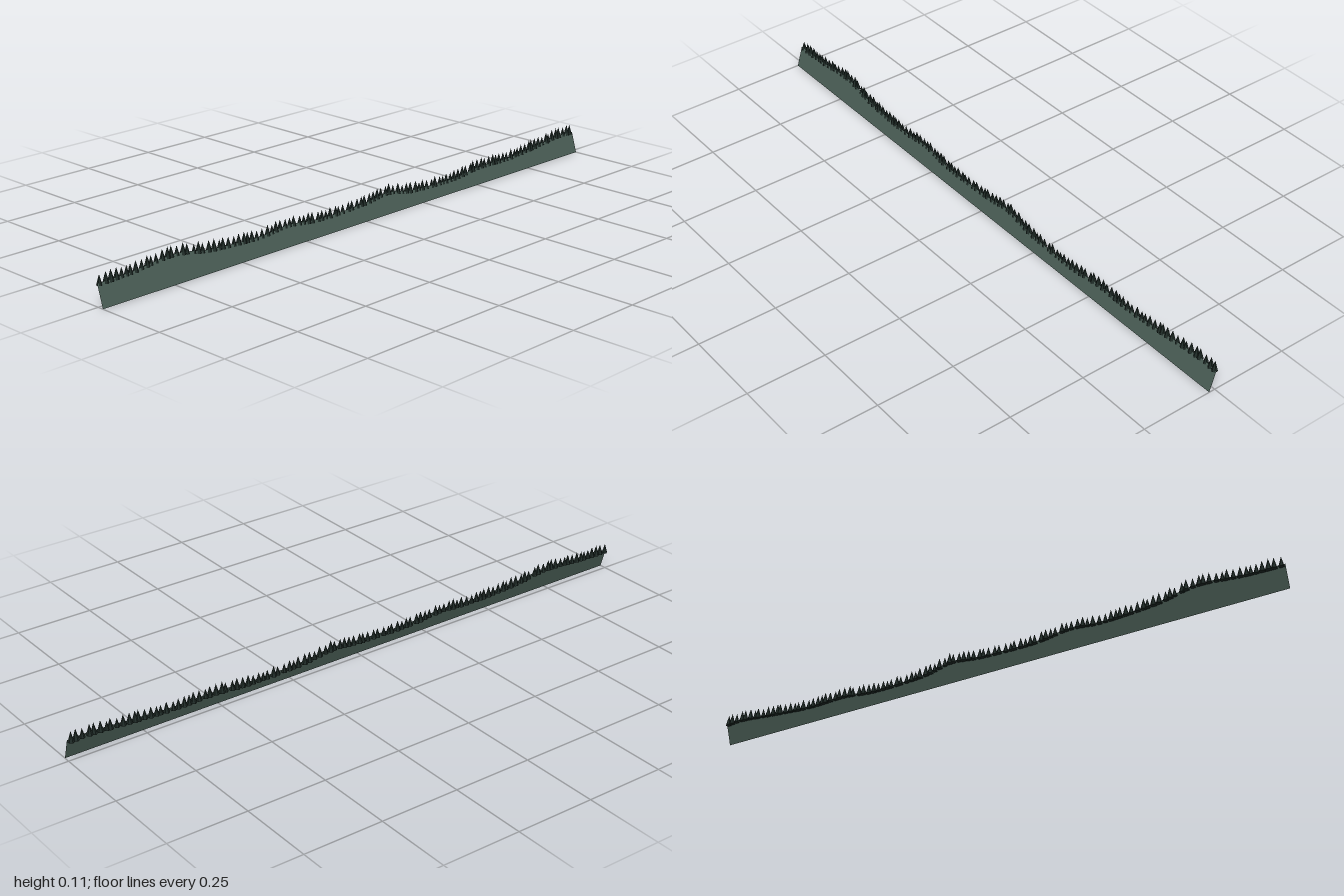
import * as THREE from 'three';

// Crest height along x, as (x, y) points
const crest = new THREE.SplineCurve([
  [-1, 0.067], [-0.88, 0.07], [-0.73, 0.08], [-0.6, 0.062], [-0.42, 0.054], [-0.31, 0.061],
  [-0.18, 0.05], [0, 0.053], [0.11, 0.062], [0.22, 0.046], [0.4, 0.042], [0.52, 0.052],
  [0.66, 0.05], [0.8, 0.059], [0.93, 0.069], [1, 0.066],
].map(([x, y]) => new THREE.Vector2(x, y))).getPoints(300);

function crestHeight(x) {
  const i = Math.max(1, crest.findIndex((p) => p.x >= x));
  const a = crest[i - 1], b = crest[i];
  return THREE.MathUtils.lerp(a.y, b.y, (x - a.x) / (b.x - a.x));
}

// The slope leans back as it rises
const slopeZ = (y) => 0.02 - 0.3 * y;

function seeded(seed) {
  return () => {
    seed = (seed * 16807) % 2147483647;
    return seed / 2147483647;
  };
}

export function createModel() {
  const group = new THREE.Group();
  group.name = 'forestRidge';

  // Hillside: an open sheet following the crest line
  const hillGeo = new THREE.PlaneGeometry(2, 1, 96, 2);
  const pos = hillGeo.attributes.position;
  for (let i = 0; i < pos.count; i++) {
    const x = THREE.MathUtils.clamp(pos.getX(i), -1, 0.99999);
    const y = (pos.getY(i) + 0.5) * crestHeight(x);
    pos.setXYZ(i, pos.getX(i), y, slopeZ(y));
  }
  hillGeo.computeVertexNormals();
  const hill = new THREE.Mesh(hillGeo, new THREE.MeshStandardMaterial({
    color: 0x4c6058, side: THREE.DoubleSide,
  }));
  hill.name = 'hillside';
  group.add(hill);

  // Conifers: a row of low-poly cones just behind the crest
  const trees = new THREE.Group();
  trees.name = 'treeLine';
  const treeMat = new THREE.MeshStandardMaterial({ color: 0x1f2b27, flatShading: true });
  const coneGeo = new THREE.ConeGeometry(1, 1, 6).translate(0, 0.5, 0);
  const random = seeded(41);
  const count = 110;
  for (let i = 0; i < count; i++) {
    const x = THREE.MathUtils.clamp(-0.99 + 1.98 * i / (count - 1) + (random() - 0.5) * 0.008, -0.99, 0.99);
    const base = crestHeight(x) - 0.008;
    const size = 0.8 + 0.25 * random();
    const tree = new THREE.Mesh(coneGeo, treeMat);
    tree.name = 'conifer';
    tree.scale.set(0.0095 * size, 0.034 * size, 0.0105 * size);
    tree.position.set(x, base, slopeZ(base) - 0.006);
    trees.add(tree);
  }
  group.add(trees);
  return group;
}
